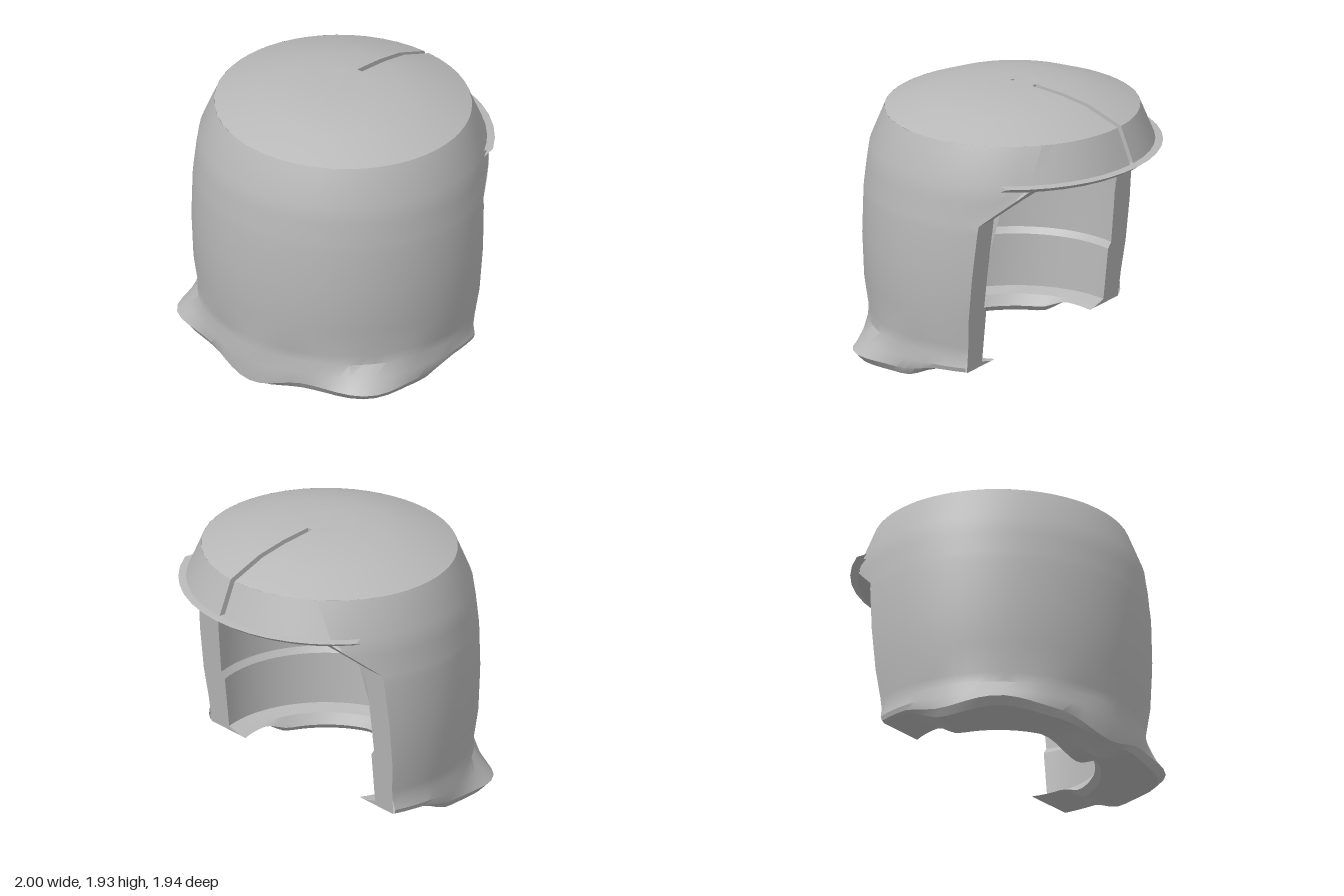
import * as THREE from 'three';
import { toCreasedNormals } from 'three/addons/utils/BufferGeometryUtils.js';

const DEPTH = 0.97;   // plan is slightly shallower than it is wide
const SLOT = 0.02;    // half width of the slot
const { lerp, smoothstep, clamp } = THREE.MathUtils;

// z of the rear opening's edge at each height
function cutZ(y) {
  if (y < 1.25) return lerp(-0.23, -0.33, clamp((y - 0.22) / 1.03, 0, 1));
  return lerp(-0.33, -0.6, clamp((y - 1.25) / 0.23, 0, 1));
}

// Largest angle from the front, stopping at the slot or the rear opening
const slotAngle = (r) => Math.PI - Math.asin(Math.min(1, SLOT / r));
const wallAngle = (r, y) =>
  Math.min(slotAngle(r), Math.acos(clamp(cutZ(y) / (r * DEPTH), -1, 1)));

// Row: [radius, height, flare, frontDip, sideLift, ripple]
function rowPoint([r, y, flare = 0, dip = 0, lift = 0, ripple = 0], a) {
  const corner = Math.exp(-(((Math.abs(a) - 0.86) / 0.27) ** 2));
  const x = Math.sin(a);
  const front = Math.cos(a) > 0 && Math.abs(x) < 0.45 ? (1 + Math.cos(Math.PI * x / 0.45)) / 2 : 0;
  const side = 1 - smoothstep(Math.cos(a), -0.05, 0.3);
  const R = r + flare * corner + ripple * Math.cos(a * 11) * (1 - side);
  return [R * Math.sin(a), y - dip * front + lift * side, R * Math.cos(a) * DEPTH];
}

// Surface through a list of rows, each swept between its own two angles
function sweep(rows, range, n) {
  const pos = [], index = [];
  rows.forEach((row, j) => {
    const [a0, a1] = range(row);
    for (let i = 0; i <= n; i++) {
      pos.push(...rowPoint(row, lerp(a0, a1, i / n)));
      if (i < n && j < rows.length - 1) {
        const a = j * (n + 1) + i, b = a + n + 1;
        index.push(a, b, a + 1, b, b + 1, a + 1);
      }
    }
  });
  return build(pos, index);
}

function build(pos, index) {
  const g = new THREE.BufferGeometry();
  g.setAttribute('position', new THREE.Float32BufferAttribute(pos, 3));
  g.setIndex(index);
  return toCreasedNormals(g, 0.5);
}

// Radius of a profile at a given height
function radiusAt(profile, y) {
  for (let i = 1; i < profile.length; i++) {
    const [r0, y0] = profile[i - 1], [r1, y1] = profile[i];
    if (y <= y1) return lerp(r0, r1, y1 > y0 ? clamp((y - y0) / (y1 - y0), 0, 1) : 0);
  }
  return profile[profile.length - 1][0];
}

export function createModel() {
  const group = new THREE.Group();
  const grey = new THREE.MeshStandardMaterial({ color: 0xb8b8b8, side: THREE.DoubleSide });
  grey.name = 'plain grey';
  const add = (name, geometry) => {
    const mesh = new THREE.Mesh(geometry, grey);
    mesh.name = name;
    group.add(mesh);
    return mesh;
  };

  // Full circle inside the slot's inner end, parted by the slot beyond it
  const slotted = ([r]) => (r < 0.17 ? [-Math.PI, Math.PI] : [-slotAngle(r), slotAngle(r)]);
  const wall = ([r, y]) => [-wallAngle(r, y), wallAngle(r, y)];

  // Domed crown with a pinhole, and a slot running to the back
  const crown = [[0.17, 1.925], [0.4, 1.9], [0.6, 1.86], [0.85, 1.76]];
  const skirt = [[0.85, 1.76], [0.95, 1.52]];
  add('crown', sweep([[0.012, 1.93], [0.165, 1.925], ...crown], slotted, 40));
  add('leftSkirt', sweep(skirt, ([r, y]) => [wallAngle(r, y), slotAngle(r)], 6));
  add('rightSkirt', sweep(skirt, ([r, y]) => [-slotAngle(r), -wallAngle(r, y)], 6));

  // Ceiling with its round recess
  const ceiling = [[0.75, 1.485], [0.42, 1.5], [0.42, 1.76], [0.17, 1.76]];
  add('ceiling', sweep([...ceiling, [0.165, 1.76], [0.001, 1.76]], slotted, 40));

  // Wall: down the outside, round the flared lip, up the inside
  const outer = [[0.94, 0.22], [0.955, 0.4], [0.985, 0.6], [0.998, 0.9],
    [0.99, 1.2], [0.985, 1.25], [0.968, 1.4], [0.95, 1.52], [0.85, 1.76]];
  const inner = [[0.66, 0.2], [0.66, 0.23], [0.77, 0.25], [0.785, 0.6], [0.815, 0.64],
    [0.82, 1.0], [0.815, 1.28], [0.79, 1.37], [0.72, 1.44], [0.6, 1.485], [0.42, 1.5]];
  const lip = [
    [0.948, 0.33, 0.015, 0, 0, 0.006],
    [0.965, 0.25, 0.05, 0.02, 0.01],
    [0.955, 0.17, 0.14, 0.1, 0.06],
    [0.925, 0.12, 0.12, 0.06, 0.1],
    [0.85, 0.12, 0, 0.09, 0.1],
    [0.81, 0.12, 0, 0.12, 0.1],
    [0.66, 0.12, 0, 0.115, 0.1],
    [0.62, 0.16, 0, 0.08, 0.06],
  ];
  add('wall', sweep([...outer.slice(1).reverse(), ...lip, ...inner.slice(1)], wall, 44));

  // Flat ends of the wall along the rear opening, sloping into the ceiling
  const heights = [0.22, 0.25, 0.4, 0.6, 0.64, 0.9, 1.2, 1.25, 1.28, 1.33, 1.37, 1.41, 1.44, 1.485];
  for (const s of [1, -1]) {
    const pos = [], index = [];
    heights.forEach((y, i) => {
      const z = cutZ(y);
      const edge = (r) => s * Math.max(SLOT, Math.sqrt(Math.max(0, r * r - (z / DEPTH) ** 2)));
      pos.push(edge(radiusAt(outer, y)), y, z, edge(radiusAt(inner, y)), y, z);
      if (i) {
        const a = 2 * i - 2;
        if (s > 0) index.push(a, a + 1, a + 2, a + 1, a + 3, a + 2);
        else index.push(a, a + 2, a + 1, a + 1, a + 2, a + 3);
      }
    });
    add(s > 0 ? 'leftWallEnd' : 'rightWallEnd', build(pos, index));
  }

  // Thin brim round the back, above the opening, tapering into the wall
  const brim = [[0.75, 1.52], [0.75, 1.48], [0.95, 1.48], [1.0, 1.515], [0.94, 1.525], [0.75, 1.52]];
  const brimRange = ([r]) => {
    const start = r > 0.98 ? 2.12 : r > 0.9 ? 2.06 : 2.25;
    return [start, 2 * Math.PI - start];
  };
  add('brim', sweep(brim, brimRange, 14));

  // Cheeks of the slot, cut from the crown down to the brim
  const section = new THREE.Shape([...crown, skirt[1], [0.75, 1.52], ...ceiling]
    .map(([r, y]) => new THREE.Vector2(r * DEPTH, y)));
  for (const s of [1, -1]) {
    const cheek = add(s > 0 ? 'leftSlotCheek' : 'rightSlotCheek', new THREE.ShapeGeometry(section));
    cheek.rotation.y = Math.PI / 2;
    cheek.position.x = s * SLOT;
  }
  const slotEnd = add('slotEnd', new THREE.PlaneGeometry(2 * SLOT, 0.165));
  slotEnd.rotation.y = Math.PI;
  slotEnd.position.set(0, 1.8425, -0.17 * DEPTH);

  return group;
}
